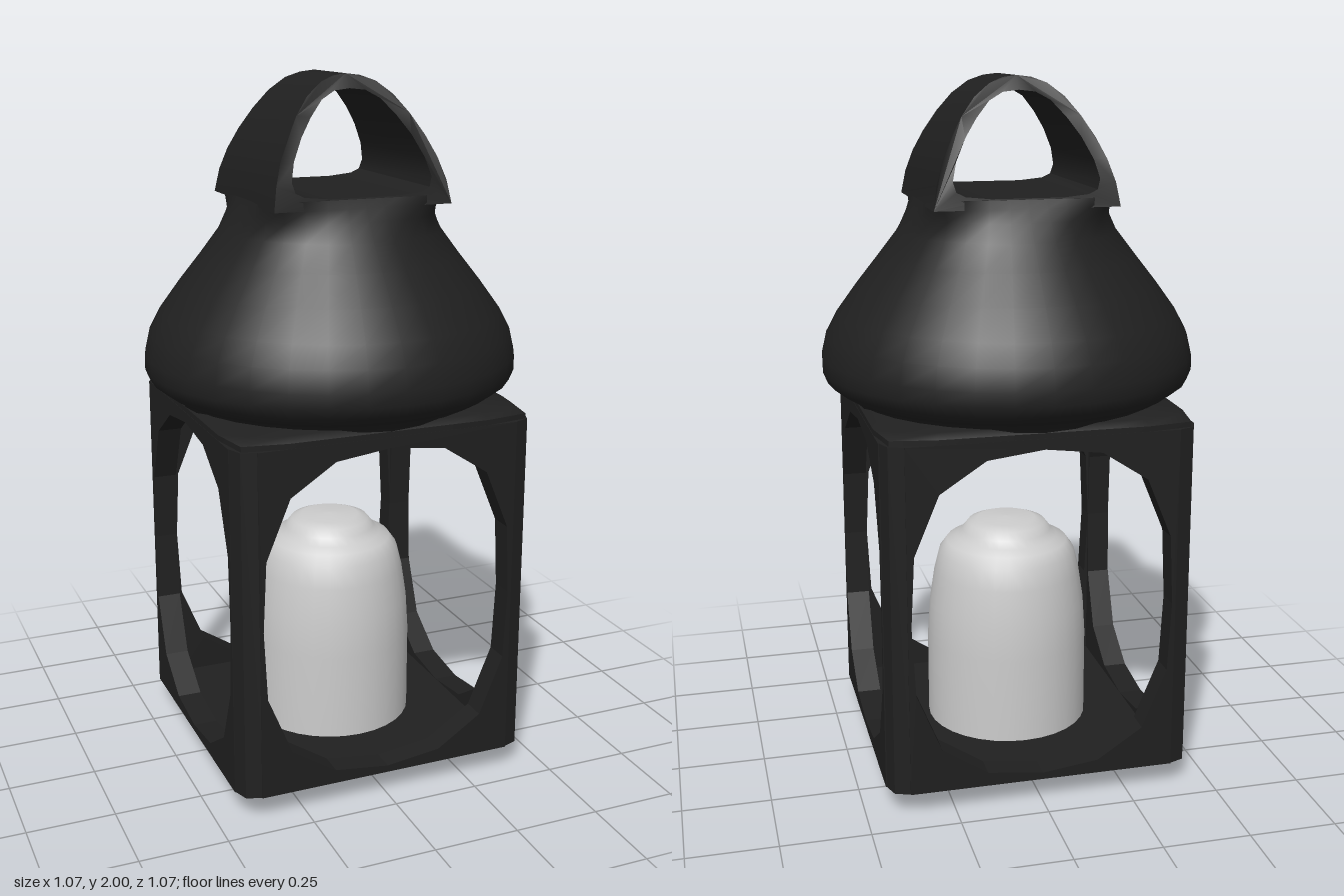
import * as THREE from 'three';
import { toCreasedNormals } from 'three/addons/utils/BufferGeometryUtils.js';

const iron = new THREE.MeshStandardMaterial({ color: 0x202020, side: THREE.DoubleSide });
const wax = new THREE.MeshStandardMaterial({ color: 0xcccccc });

// Rings of [y, radius, exponent]; exponent 2 is round, higher is squarer
function loft(rings, segs, crease) {
  const pos = [], idx = [];
  rings.forEach(([y, r, n], j) => {
    for (let i = 0; i < segs; i++) {
      const a = (i / segs) * Math.PI * 2, c = Math.cos(a), s = Math.sin(a);
      const k = r * Math.pow(Math.abs(c) ** n + Math.abs(s) ** n, -1 / n);
      pos.push(c * k, y, s * k);
      if (j === rings.length - 1) continue;
      const p = j * segs + i, q = j * segs + ((i + 1) % segs);
      idx.push(p, p + segs, q, q, p + segs, q + segs);
    }
  });
  const g = new THREE.BufferGeometry();
  g.setAttribute('position', new THREE.Float32BufferAttribute(pos, 3));
  g.setIndex(idx);
  return toCreasedNormals(g, crease);
}

const v2 = (list) => list.map(([x, y]) => new THREE.Vector2(x, y));

// Right-hand points from bottom to top centre, mirrored into a whole outline
const mirrored = (half) => v2([...half, ...half.filter(([x]) => x > 0).reverse().map(([x, y]) => [-x, y])]);

export function createModel() {
  const model = new THREE.Group();
  const add = (name, geometry, material = iron, parent = model) => {
    const mesh = new THREE.Mesh(geometry, material);
    mesh.name = name;
    parent.add(mesh);
    return mesh;
  };

  // Domed base with a flat floor
  add('base', loft([
    [0, 0.001, 2], [0.008, 0.16, 3], [0.025, 0.29, 6], [0.045, 0.39, 12],
    [0.07, 0.435, 14], [0.09, 0.437, 14], [0.09, 0.001, 14],
  ], 32, 0.7));

  // Four side panels with many-sided oval windows
  const quarter = [[0, 0.475], [0.16, 0.455], [0.29, 0.37], [0.36, 0.2], [0.37, 0]];
  const right = [...quarter].reverse();
  const upper = [...right, ...quarter.slice(1, 4).map(([x, y]) => [-x, y])];
  const oval = v2([...upper, ...upper.map(([x, y]) => [-x, -y])].map(([x, y]) => [x, y + 0.565]));
  const panel = new THREE.Shape(v2([[-0.38, 0.07], [0.38, 0.07], [0.38, 1.07], [-0.38, 1.07]]));
  panel.holes.push(new THREE.Path(oval));
  const panelGeo = new THREE.ExtrudeGeometry(panel, { depth: 0.07, bevelEnabled: false });
  panelGeo.translate(0, 0, 0.37);

  // Corner posts with blunted outer edges
  const post = new THREE.Shape(v2([[0.372, 0.372], [0.44, 0.372], [0.422, 0.422], [0.372, 0.44]]));
  const postGeo = new THREE.ExtrudeGeometry(post, { depth: 1.0, bevelEnabled: false });
  postGeo.rotateX(-Math.PI / 2).translate(0, 0.07, 0);

  for (let i = 0; i < 4; i++) {
    const side = new THREE.Group();
    side.name = 'side' + (i + 1);
    side.rotation.y = (i * Math.PI) / 2;
    add('windowPanel', panelGeo, iron, side);
    add('cornerPost', postGeo, iron, side);
    model.add(side);
  }

  // Square plate closing the body under the roof
  add('topPlate', loft([
    [1.05, 0.001, 14], [1.05, 0.439, 14], [1.085, 0.439, 14], [1.1, 0.42, 10], [1.105, 0.001, 2],
  ], 32, 0.7));

  // Bell roof, round at the eaves and square at the neck
  add('roof', loft([
    [1.08, 0.435, 2], [1.1, 0.447, 2], [1.125, 0.49, 2], [1.15, 0.522, 2], [1.18, 0.534, 2],
    [1.22, 0.534, 2], [1.28, 0.52, 2], [1.34, 0.488, 2], [1.42, 0.43, 2], [1.5, 0.367, 2],
    [1.57, 0.312, 2.1], [1.62, 0.28, 2.6], [1.655, 0.26, 5], [1.68, 0.25, 12], [1.682, 0.001, 12],
  ], 16 * 2, 1.1));

  // Loop handle: an arch whose depth narrows toward the top
  const arch = new THREE.Shape(mirrored([
    [0.258, 1.655], [0.247, 1.72], [0.228, 1.78], [0.2, 1.838], [0.165, 1.895],
    [0.125, 1.945], [0.08, 1.98], [0.04, 1.995], [0, 2],
  ]));
  arch.holes.push(new THREE.Path(mirrored([
    [0.1, 1.683], [0.17, 1.69], [0.195, 1.702], [0.203, 1.73], [0.19, 1.78],
    [0.16, 1.84], [0.125, 1.89], [0.085, 1.935], [0.045, 1.957], [0, 1.962],
  ])));
  const handleGeo = new THREE.ExtrudeGeometry(arch, { depth: 2, bevelEnabled: false });
  const p = handleGeo.attributes.position;
  const depths = [[1.65, 0.252], [1.73, 0.236], [1.83, 0.2], [1.98, 0.135], [2, 0.115]];
  const halfDepth = (y) => {
    const k = Math.max(1, depths.findIndex(([h]) => y <= h + 1e-5));
    const [[y0, d0], [y1, d1]] = [depths[k - 1], depths[k]];
    return THREE.MathUtils.mapLinear(y, y0, y1, d0, d1);
  };
  for (let i = 0; i < p.count; i++) p.setZ(i, (p.getZ(i) - 1) * halfDepth(p.getY(i)));
  add('handle', toCreasedNormals(handleGeo, 0.6));

  // Candle with a softly stepped top
  add('candle', new THREE.LatheGeometry(v2([
    [0.24, 0.085], [0.24, 0.34], [0.233, 0.45], [0.218, 0.55], [0.203, 0.61], [0.18, 0.642],
    [0.15, 0.655], [0.132, 0.675], [0.115, 0.697], [0.085, 0.708], [0, 0.712],
  ]), 32), wax);

  return model;
}
